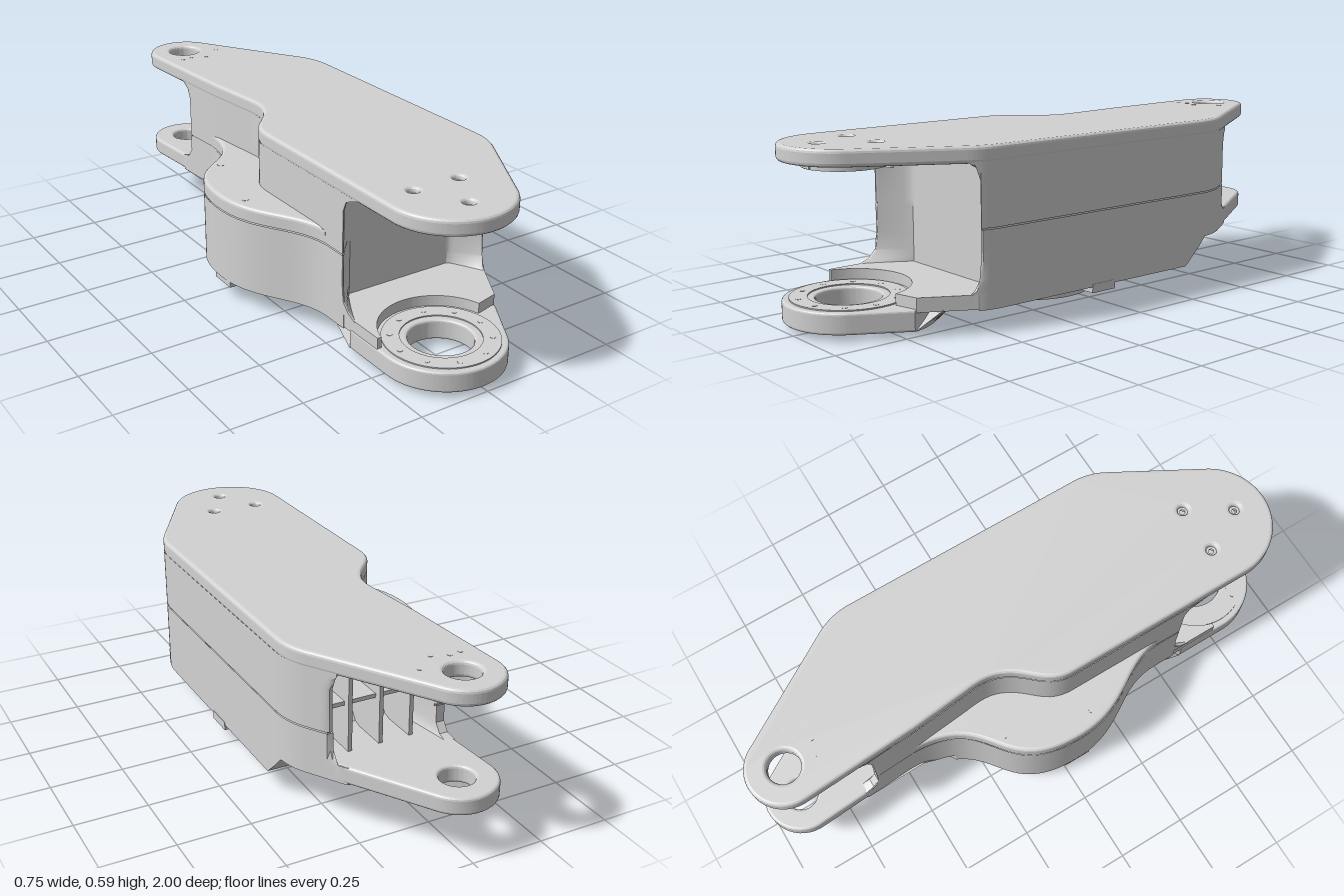
import * as THREE from 'three';
import { toCreasedNormals } from 'three/addons/utils/BufferGeometryUtils.js';

const PI = Math.PI;
const metal = new THREE.MeshStandardMaterial({ color: 0xd2d2d2, side: THREE.DoubleSide });
metal.name = 'light grey metal';

const FRONT = [-0.015, 0.79], BACK = [-0.015, -0.87], HUB = [-0.012, 0.045];

// Plan outline of the arm in (x, z); wide adds the side bulge.
function outline(wide) {
  const s = new THREE.Shape();
  s.moveTo(-0.145, -0.87);
  s.absarc(...BACK, 0.13, PI, 2 * PI - 0.52, false);
  s.lineTo(0.335, -0.55);
  s.quadraticCurveTo(0.37, -0.49, 0.37, -0.42);
  s.lineTo(0.37, 0.47);
  s.quadraticCurveTo(0.37, 0.53, 0.34, 0.585);
  s.absarc(...FRONT, 0.21, 0.52, PI, false);
  if (wide) {
    s.lineTo(-0.225, 0.47);
    s.bezierCurveTo(-0.23, 0.3, -0.375, 0.25, -0.375, 0.04);
    s.bezierCurveTo(-0.375, -0.3, -0.12, -0.15, -0.12, -0.5);
  } else {
    s.lineTo(-0.225, 0.1);
    s.bezierCurveTo(-0.225, 0, -0.16, -0.02, -0.12, -0.09);
    s.bezierCurveTo(-0.09, -0.14, -0.09, -0.18, -0.1, -0.25);
    s.lineTo(-0.12, -0.45);
  }
  s.closePath();
  return s;
}

function points(shape) {
  const p = shape.getSpacedPoints(240);
  while (p[p.length - 1].distanceTo(p[0]) < 1e-4) p.pop();
  return p;
}

function hole(shape, x, z, r) {
  shape.holes.push(new THREE.Path().absarc(x, z, r, 0, 2 * PI, true));
  return shape;
}

// Plate made from a plan shape between two heights.
function plate(shape, y0, y1, bevel = 0) {
  const g = new THREE.ExtrudeGeometry(shape, {
    depth: y1 - y0 - 2 * bevel, curveSegments: 40, bevelEnabled: bevel > 0,
    bevelThickness: bevel, bevelSize: bevel, bevelOffset: -bevel, bevelSegments: 3,
  });
  g.rotateX(PI / 2).translate(0, y1 - bevel, 0);
  return toCreasedNormals(g, 0.25);
}

// Outline cut to the body ends: the front is hollowed to a shallow arc, the back to a pocket.
function cutRing(pts, [, zf, zb, scoop = 0]) {
  return pts.map((p) => {
    const bow = Math.max(0, 1 - ((p.x - 0.07) / 0.29) ** 2);
    const front = THREE.MathUtils.lerp(zf, 0.46, Math.min(1, 2 * bow));
    const pocket = scoop * Math.min(1, Math.max(0, 5 * (1 - ((p.x - 0.09) / 0.18) ** 2)));
    const x = p.y < zb ? Math.max(p.x, -0.127) : p.x;
    return new THREE.Vector2(x, Math.max(zb + pocket, Math.min(front, p.y)));
  });
}

// Wall through closed plan rings given as [y, points].
function skin(rings) {
  const pos = [], idx = [], n = rings[0][1].length;
  rings.forEach(([y, pts], k) => pts.forEach((p, i) => {
    pos.push(p.x, y, p.y);
    if (k === 0) return;
    const j = (i + 1) % n, a = (k - 1) * n, b = k * n;
    idx.push(a + i, b + i, a + j, a + j, b + i, b + j);
  }));
  const g = new THREE.BufferGeometry();
  g.setAttribute('position', new THREE.Float32BufferAttribute(pos, 3));
  g.setIndex(idx);
  return toCreasedNormals(g, 0.5);
}

// Body wall through levels of [y, front z, back z, back scoop].
const loft = (pts, levels) => skin(levels.map((l) => [l[0], cutRing(pts, l)]));

// Arc around the front bearing, trimmed by the arm's two sides.
function lugArc(r) {
  const trim = Math.acos(0.21 / r);
  return new THREE.Path().absarc(...FRONT, r, trim - PI, 0.52 - trim, false).getSpacedPoints(40);
}

export function createModel() {
  const model = new THREE.Group();
  const add = (name, geo) => {
    const m = new THREE.Mesh(geo, metal);
    m.name = name;
    model.add(m);
  };
  const box = (name, w, h, d, x, y, z) =>
    add(name, new THREE.BoxGeometry(w, h, d).translate(x, y, z));
  const screw = (x, y, z, r) =>
    add('screw', new THREE.CylinderGeometry(r, r, 0.002, 16).translate(x, y, z));

  const narrow = points(outline(false)), wide = points(outline(true));

  // Top plate with pivot hole and three screw holes
  const top = outline(false);
  hole(top, ...BACK, 0.056);
  [[-0.1, 0.73], [0.075, 0.73], [-0.015, 0.885]].forEach(([x, z]) => {
    hole(top, x, z, 0.018);
    add('screwSeat', new THREE.RingGeometry(0.009, 0.024, 20).rotateX(-PI / 2).translate(x, 0.57, z));
  });
  add('topPlate', plate(top, 0.533, 0.588, 0.012));
  [[-0.075, -0.765], [-0.035, -0.77], [0.02, -0.75], [0.095, -0.81]]
    .forEach(([x, z]) => screw(x, 0.588, z, 0.008));

  // Upper and lower body shells with a narrow seam between them
  add('upperBody', loft(narrow, [
    [0.333, 0.55, -0.62, 0.2], [0.48, 0.55, -0.62, 0.2], [0.515, 0.565, -0.635, 0.2],
    [0.53, 0.6, -0.66, 0.2], [0.54, 0.63, -0.68, 0.2]]));
  const lower = [
    [0.075, 0.56, -0.35], [0.125, 0.56, -0.405], [0.125, 0.62, -0.405], [0.14, 0.585, -0.42],
    [0.165, 0.56, -0.445], [0.17, 0.557, -0.45], [0.17, 0.557, -0.68], [0.23, 0.55, -0.68],
    [0.23, 0.55, -0.68, 0.2], [0.24, 0.55, -0.645, 0.2], [0.27, 0.55, -0.622, 0.2],
    [0.329, 0.55, -0.62, 0.2]];
  add('lowerBody', loft(wide, lower));
  const inner = wide.map((p) => new THREE.Vector2(p.x * 0.98, p.y));
  add('seam', loft(inner, [[0.32, 0.545, -0.61, 0.2], [0.345, 0.545, -0.61, 0.2]]));

  // Cover of the side bulge, rounded only at its top
  const rim = wide.filter((p) => p.x < -0.1 && p.y > -0.5 && p.y < 0.47);
  rim.push(new THREE.Vector2(0, -0.3), new THREE.Vector2(0, 0.3));
  const cover = new THREE.Shape(rim);
  add('bulgeCoverSide', plate(cover, 0.333, 0.368));
  add('bulgeCoverTop', plate(cover, 0.342, 0.382, 0.012));
  screw(-0.24, 0.382, -0.185, 0.013);
  screw(-0.32, 0.382, 0.12, 0.013);

  // Underside with round pocket and hub
  const under = hole(new THREE.Shape(cutRing(wide, lower[0])), ...HUB, 0.25);
  add('underside', new THREE.ShapeGeometry(under, 48).rotateX(PI / 2).translate(0, 0.075, 0));
  add('pocketWall', new THREE.CylinderGeometry(0.25, 0.25, 0.035, 64, 1, true)
    .translate(HUB[0], 0.0925, HUB[1]));
  add('pocketFloor', new THREE.CircleGeometry(0.25, 64).rotateX(PI / 2)
    .translate(HUB[0], 0.11, HUB[1]));
  const hub = new THREE.Shape(), a = Math.asin(0.195 / 0.217);
  hub.absarc(0, 0, 0.217, -a, a, false);
  hub.absarc(0, 0, 0.217, PI - a, PI + a, false);
  add('hub', plate(hub, 0, 0.112, 0.005).translate(HUB[0], 0, HUB[1]));
  for (const s of [-1, 1]) box('sideTab', 0.085, 0.03, 0.1, s * 0.329, 0.07, 0.045);
  for (let i = 0; i < 12; i++) {
    const t = (i + 0.5) * PI / 6;
    screw(HUB[0] + 0.29 * Math.cos(t), 0.075, HUB[1] + 0.29 * Math.sin(t), 0.009);
  }

  // Front lower lug with a conical skirt up to the body
  const lug = new THREE.Shape(lugArc(0.285));
  lug.absarc(...FRONT, 0.21, 0.52, PI, false);
  lug.closePath();
  add('frontLug', plate(hole(lug, ...FRONT, 0.105), 0.02, 0.09, 0.008));
  const core = new THREE.Vector2(FRONT[0], 0.64);
  add('lugSkirt', skin([[0.021, [...lugArc(0.285), core]], [0.085, [...lugArc(0.35), core]]]));

  // Bearing ring and the shoulder behind it
  const seat = new THREE.Shape().absarc(...FRONT, 0.188, 0, 2 * PI, false);
  add('bearingRing', plate(hole(seat, ...FRONT, 0.13), 0.08, 0.094));
  for (let i = 0; i < 10; i++) {
    const t = i * PI / 5, x = FRONT[0] + 0.16 * Math.cos(t), z = FRONT[1] + 0.16 * Math.sin(t);
    screw(x, 0.094, z, 0.009);
    screw(x, 0.02, z, 0.009);
  }
  const step = new THREE.Shape();
  step.moveTo(-0.223, 0.44);
  step.lineTo(0.355, 0.44);
  step.lineTo(0.355, 0.555);
  step.lineTo(0.338, 0.585);
  step.lineTo(0.262, 0.72);
  step.absarc(...FRONT, 0.2, -0.25, -PI + 0.25, true);
  step.lineTo(-0.223, 0.74);
  step.closePath();
  add('bearingShoulder', plate(step, 0.08, 0.127));

  // Boss under the front of the top plate
  add('upperBoss', new THREE.CylinderGeometry(0.137, 0.137, 0.03, 48, 1, true)
    .translate(FRONT[0], 0.525, FRONT[1]));
  add('upperBossFace', new THREE.CircleGeometry(0.137, 48).rotateX(PI / 2)
    .translate(FRONT[0], 0.51, FRONT[1]));
  box('bossKey', 0.04, 0.012, 0.02, -0.013, 0.518, 0.92);
  add('bossPin', new THREE.CylinderGeometry(0.008, 0.013, 0.02, 12).translate(0.07, 0.51, 0.68));

  // Rear lower lug
  const rear = hole(new THREE.Shape(wide.filter((p) => p.y < -0.46)), ...BACK, 0.056);
  add('rearLug', plate(rear, 0.172, 0.232, 0.01));

  // Ribs inside the rear opening
  for (const x of [-0.02, 0.09, 0.2]) box('rearRib', 0.014, 0.31, 0.19, x, 0.383, -0.5);
  box('rearCrossRib', 0.36, 0.014, 0.16, 0.09, 0.39, -0.49);

  return model;
}
